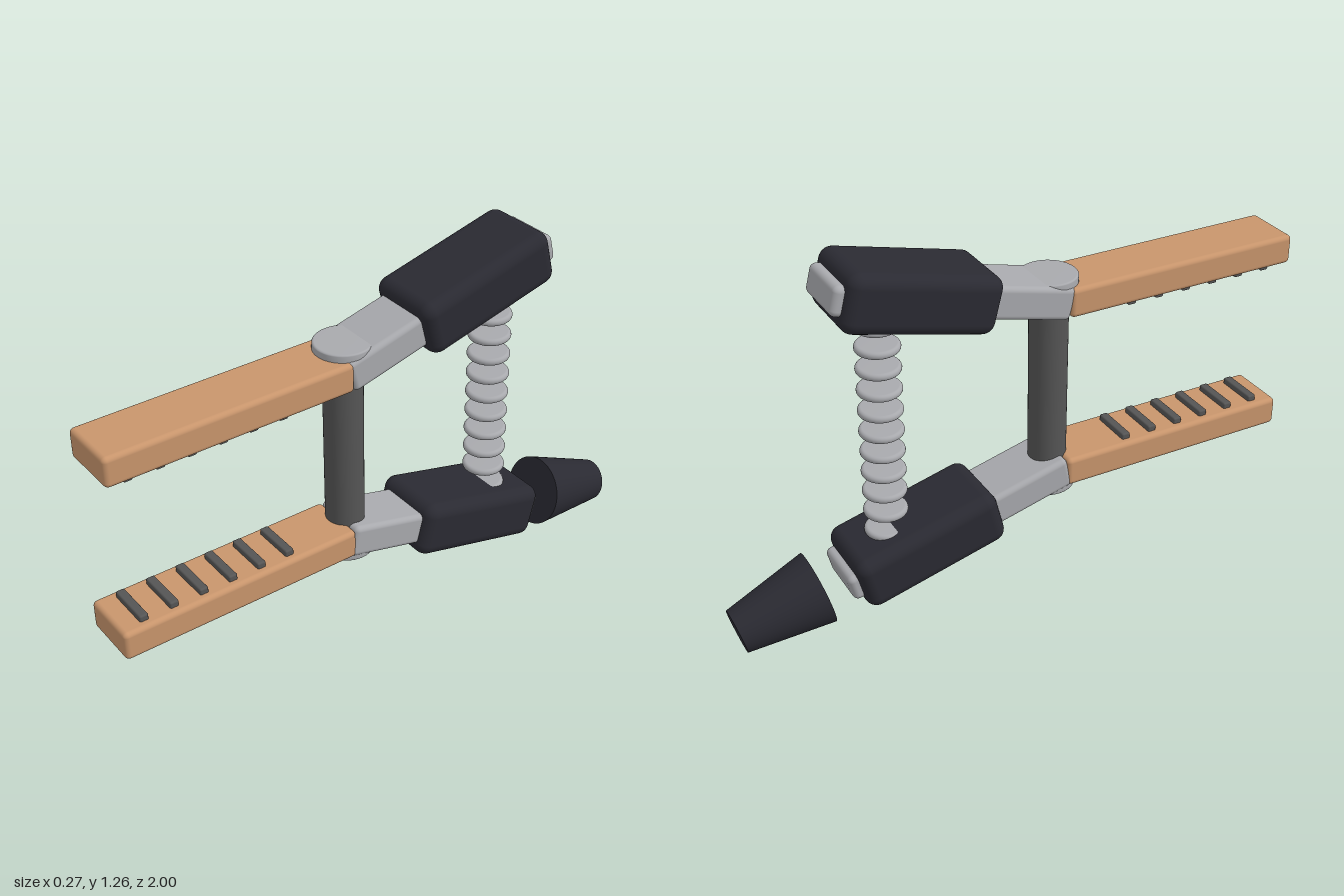
import * as THREE from 'three';
import { RoundedBoxGeometry } from 'three/addons/geometries/RoundedBoxGeometry.js';

const MID = 0.68;    // height of the mirror plane between the two halves
const TILT = 0.25;   // slope of the arms

function material(name, color) {
  const m = new THREE.MeshStandardMaterial({ color });
  m.name = name;
  return m;
}

function add(parent, name, geometry, mat, x, y, z) {
  const mesh = new THREE.Mesh(geometry, mat);
  mesh.name = name;
  mesh.position.set(x, y, z);
  parent.add(mesh);
  return mesh;
}

const box = (w, h, d, r) => new RoundedBoxGeometry(w, h, d, 4, r);

// Solid disc with a rounded rim
function roundedDisc(radius, height, r, segments = 40) {
  const h = height / 2;
  const points = [new THREE.Vector2(0, -h)];
  for (let i = 0; i <= 8; i++) {
    const a = -Math.PI / 2 + (i / 8) * Math.PI;
    const side = Math.sin(a) * r + Math.sign(Math.round(Math.sin(a) * 1e6)) * (h - r);
    points.push(new THREE.Vector2(radius - r + Math.cos(a) * r, side));
  }
  points.push(new THREE.Vector2(0, h));
  return new THREE.LatheGeometry(points, segments);
}

export function createModel() {
  const wood = material('tan', 0xc8956c);
  const rubber = material('black rubber', 0x2a2a32);
  const metal = material('light metal', 0xa8a9ad);
  const steel = material('dark steel', 0x555555);

  const model = new THREE.Group();
  model.name = 'springClamp';

  // Upper half, in coordinates relative to the mirror plane; lower one is turned over
  function makeHalf(name) {
    const half = new THREE.Group();
    half.name = name;
    half.position.y = MID;

    // Straight jaw with six gripping ribs on its inner face
    add(half, 'jaw', box(0.204, 0.1, 0.84, 0.016), wood, 0, 0.312, 0.58);
    for (let i = 0; i < 6; i++) {
      add(half, 'gripRib', box(0.15, 0.03, 0.03, 0.006), steel, 0, 0.257, 0.917 - i * 0.1035);
    }

    // Pivot cap on the outer face
    add(half, 'pivotCap', roundedDisc(0.096, 0.05, 0.008), metal, 0, 0.362, 0.132);

    // Sloping arm with its padded handle and end tab
    const arm = new THREE.Group();
    arm.name = 'arm';
    arm.position.set(0, 0.313, 0.15);
    arm.rotation.x = TILT;
    add(arm, 'armBar', box(0.2, 0.11, 0.54, 0.018), metal, 0, 0, -0.25);
    add(arm, 'handlePad', box(0.272, 0.19, 0.51, 0.042), rubber, 0, 0, -0.511);
    add(arm, 'endTab', box(0.2, 0.096, 0.2, 0.02), metal, 0, 0, -0.697);
    half.add(arm);

    model.add(half);
    return { half, arm };
  }

  makeHalf('upperHalf');
  const lower = makeHalf('lowerHalf');
  lower.half.rotation.z = Math.PI;

  // Tapered tip lying behind the lower handle, on the same axis
  const tip = add(lower.arm, 'taperedTip',
    new THREE.CylinderGeometry(0.0745, 0.123, 0.288, 40), rubber, 0, 0, -1.019);
  tip.rotation.x = -Math.PI / 2;

  // Post joining the two pivots
  add(model, 'pivotPost', new THREE.CylinderGeometry(0.064, 0.064, 0.6, 40), steel, 0, MID, 0.135);

  // Spring made of stacked rings
  const ring = roundedDisc(0.072, 0.025, 0.012, 32);
  for (let i = 0; i < 11; i++) {
    add(model, 'springRing', ring, metal, 0, 0.302 + i * 0.0733, -0.4525);
  }

  return model;
}
